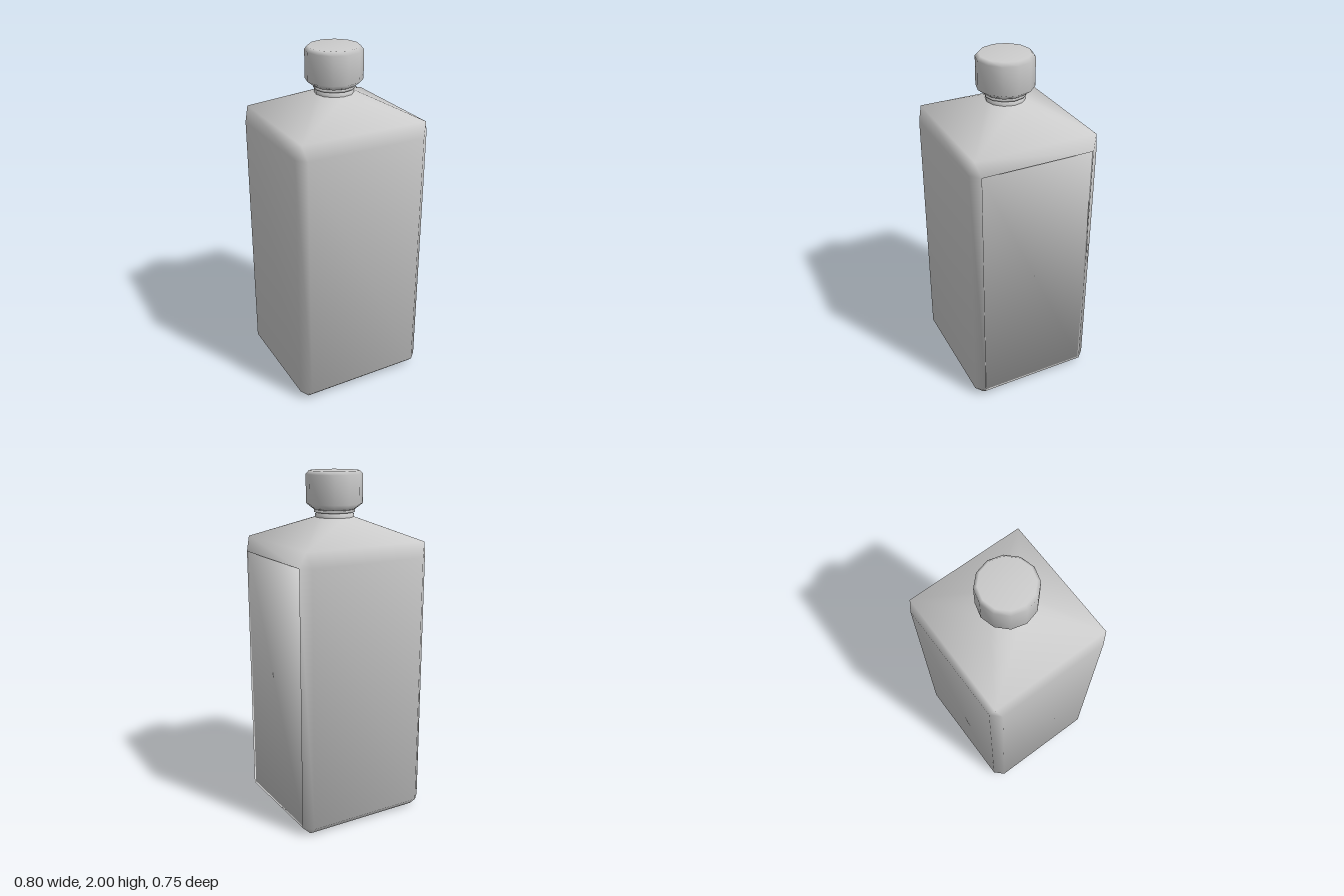
import * as THREE from 'three';

const material = new THREE.MeshStandardMaterial({ color: 0xcccccc, side: THREE.DoubleSide });

// Indexed mesh from convex polygons; smooth normals weigh every face equally
function polygonGeometry(points, faces) {
  const normals = points.map(() => new THREE.Vector3());
  const index = [];
  for (const f of faces) {
    const [a, b, c] = f.map((i) => points[i]);
    const n = b.clone().sub(a).cross(c.clone().sub(a)).normalize();
    f.forEach((i) => normals[i].add(n));
    for (let i = 1; i < f.length - 1; i++) index.push(f[0], f[i], f[i + 1]);
  }
  const g = new THREE.BufferGeometry();
  g.setAttribute('position', new THREE.Float32BufferAttribute(points.flatMap((p) => p.toArray()), 3));
  g.setAttribute('normal', new THREE.Float32BufferAttribute(normals.flatMap((n) => n.normalize().toArray()), 3));
  g.setIndex(index);
  return g;
}

function bodyGeometry() {
  const points = [], faces = [];
  const ring = (y, list) => list.map(([x, z]) => points.push(new THREE.Vector3(x, y, z)) - 1);
  const octagon = [[0.4, -0.325], [0.4, 0.325], [0.35, 0.375], [-0.35, 0.375],
    [-0.4, 0.325], [-0.4, -0.325], [-0.35, -0.375], [0.35, -0.375]];
  const corners = (x, z) => [[x, z], [-x, z], [-x, -z], [x, -z]];
  const circle = Array.from({ length: 12 }, (_, i) => [0.11 * Math.cos(i * Math.PI / 6), 0.11 * Math.sin(i * Math.PI / 6)]);

  const base = ring(0, corners(0.35, 0.325));
  const low = ring(0.05, octagon);
  const high = ring(1.535, octagon);
  const shoulder = ring(1.62, corners(0.373, 0.352));
  const neck = ring(1.745, circle);

  // Upright walls, leaving the +x side for the recess
  for (let i = 1; i < 8; i++) {
    const j = (i + 1) % 8;
    faces.push([low[i], high[i], high[j], low[j]]);
  }
  // Bevels, shoulder and sloping roof
  for (let k = 0; k < 4; k++) {
    const p = (k + 3) % 4, a = 2 * k, b = a + 1, c = (a + 2) % 8;
    faces.push([high[b], shoulder[k], high[c]], [low[b], low[c], base[k]]);
    faces.push([high[a], shoulder[p], shoulder[k], high[b]], [base[p], low[a], low[b], base[k]]);
    faces.push([shoulder[p], neck[3 * k], shoulder[k]]);
    for (let j = 3 * k; j < 3 * k + 3; j++) faces.push([shoulder[k], neck[j], neck[(j + 1) % 12]]);
  }
  faces.push(base);

  // Shallow recessed label panel on the +x side
  const outer = [low[0], high[0], high[1], low[1]];
  const inner = outer.map((i) => {
    const q = points[i];
    const y = q.y + (q.y < 1 ? 0.004 : -0.004);
    return points.push(new THREE.Vector3(0.392, y, q.z - Math.sign(q.z) * 0.004)) - 1;
  });
  for (let i = 0; i < 4; i++) {
    const j = (i + 1) % 4;
    faces.push([outer[i], inner[i], inner[j], outer[j]]);
  }
  faces.push(inner);
  return polygonGeometry(points, faces);
}

function lathe(profile) {
  return new THREE.LatheGeometry(profile.map(([r, y]) => new THREE.Vector2(r, y)), 12);
}

export function createModel() {
  const group = new THREE.Group();
  const add = (name, geometry) => {
    const mesh = new THREE.Mesh(geometry, material);
    mesh.name = name;
    group.add(mesh);
  };
  add('body', bodyGeometry());
  add('neck', lathe([[0.11, 1.745], [0.11, 1.762], [0.1, 1.768], [0.1, 1.8]]));
  add('sealRing', lathe([[0.1, 1.77], [0.116, 1.772], [0.116, 1.785], [0.1, 1.787]]));
  add('cap', lathe([[0, 1.788], [0.118, 1.788], [0.16, 1.82], [0.16, 1.98], [0.142, 2], [0, 2]]));
  return group;
}
